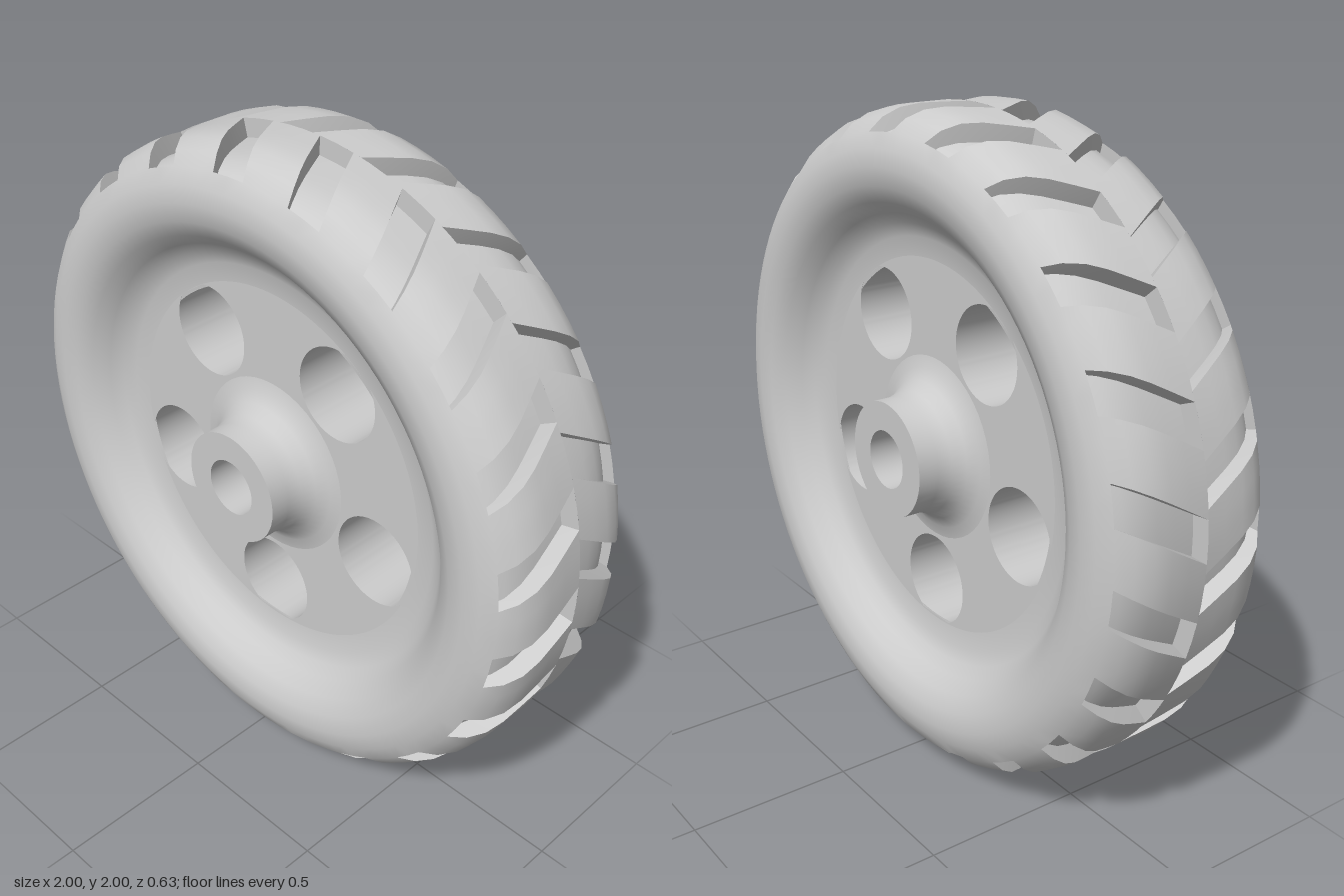
import * as THREE from 'three';
import { toCreasedNormals } from 'three/addons/utils/BufferGeometryUtils.js';

const GROOVES = 21;                       // per side
const PITCH = (Math.PI * 2) / GROOVES;
const GROOVE_HALF = THREE.MathUtils.degToRad(3.5);
const SLANT = 0.59;                       // radians of twist per unit of width
const GROOVE_END = 54.3;                  // shoulder angle where the grooves stop
const DISC_HALF = 0.145;

const material = new THREE.MeshStandardMaterial({ color: 0xcccccc });

function addMesh(parent, geometry, name) {
  const mesh = new THREE.Mesh(toCreasedNormals(geometry, 0.6), material);
  mesh.name = name;
  parent.add(mesh);
  return mesh;
}

// Cross-section of half a tyre: rows of z, radius and groove depth
function tyreRows() {
  const arc = (deg, depth) => {
    const a = THREE.MathUtils.degToRad(deg);
    return { z: 0.12 + 0.16 * Math.sin(a), r: 0.84 + 0.16 * Math.cos(a), depth };
  };
  const rows = [
    { z: 0, r: 1, depth: 0 }, { z: 0, r: 1, depth: 0.055 }, { z: 0.06, r: 1, depth: 0.055 },
    arc(0, 0.055), arc(18, 0.052), arc(36, 0.045), arc(GROOVE_END, 0.035), arc(GROOVE_END, 0),
  ];
  for (const deg of [72, 90, 110, 130, 150]) rows.push(arc(deg, 0));
  // Fillet down to the wheel disc
  for (const [z, r] of [[0.168, 0.67], [0.15, 0.63], [0.144, 0.56]]) rows.push({ z, r, depth: 0 });
  return rows;
}

// Half of the tyre with slanted grooves; side is 1 for front, -1 for back
function halfTyre(side, startAngle) {
  const columns = [];
  for (let i = 0; i < GROOVES; i++) {
    const mid = startAngle + i * PITCH;
    for (const k of [-1, 0, 1]) {
      const angle = mid + k * GROOVE_HALF;
      if (k === -1) columns.push({ angle, cut: 0 });
      columns.push({ angle, cut: 1 });
      if (k === 1) columns.push({ angle, cut: 0 });
    }
    const lug = PITCH - 2 * GROOVE_HALF;
    for (const t of [1 / 3, 2 / 3]) columns.push({ angle: mid + GROOVE_HALF + lug * t, cut: 0 });
  }
  const rows = tyreRows();
  const point = (row, column) => {
    const angle = column.angle - SLANT * Math.min(row.z, 0.25);
    const r = row.r - row.depth * column.cut;
    return new THREE.Vector3(r * Math.cos(angle), r * Math.sin(angle), side * row.z);
  };
  const positions = [];
  const triangle = (a, b, c) => {
    if (new THREE.Triangle(a, b, c).getArea() < 1e-8) return;
    for (const p of side > 0 ? [a, b, c] : [a, c, b]) positions.push(p.x, p.y, p.z);
  };
  for (let j = 0; j < rows.length - 1; j++) {
    columns.forEach((column, i) => {
      const next = columns[(i + 1) % columns.length];
      const a = point(rows[j], column), b = point(rows[j], next);
      const c = point(rows[j + 1], next), d = point(rows[j + 1], column);
      triangle(a, b, c);
      triangle(a, c, d);
    });
  }
  const geometry = new THREE.BufferGeometry();
  geometry.setAttribute('position', new THREE.Float32BufferAttribute(positions, 3));
  return geometry;
}

// Wheel disc with five round holes
function discGeometry() {
  const shape = new THREE.Shape().absarc(0, 0, 0.575, 0, Math.PI * 2);
  shape.holes.push(new THREE.Path().absarc(0, 0, 0.265, 0, Math.PI * 2, true));
  for (let i = 0; i < 5; i++) {
    const a = -Math.PI / 2 + (i * Math.PI * 2) / 5;
    shape.holes.push(new THREE.Path().absarc(0.437 * Math.cos(a), 0.437 * Math.sin(a), 0.143, 0, Math.PI * 2, true));
  }
  const geometry = new THREE.ExtrudeGeometry(shape, {
    depth: DISC_HALF * 2, bevelEnabled: false, curveSegments: 48,
  });
  return geometry.translate(0, 0, -DISC_HALF);
}

// Flared hub with a through bore
function hubGeometry() {
  const half = [[0.285, 0.144], [0.245, 0.153], [0.21, 0.175], [0.186, 0.21], [0.175, 0.25], [0.175, 0.315], [0.088, 0.315]];
  const back = half.map(([r, z]) => [r, -z]).reverse();
  const loop = [...back, ...half, back[0]].map(([r, z]) => new THREE.Vector2(r, z));
  return new THREE.LatheGeometry(loop, 48).rotateX(Math.PI / 2);
}

export function createModel() {
  const wheel = new THREE.Group();
  wheel.name = 'wheel';

  const tyre = new THREE.Group();
  tyre.name = 'tyre';
  const start = THREE.MathUtils.degToRad(101);
  addMesh(tyre, halfTyre(1, start), 'frontTread');
  addMesh(tyre, halfTyre(-1, start - PITCH / 2), 'backTread');
  wheel.add(tyre);

  addMesh(wheel, discGeometry(), 'disc');
  addMesh(wheel, hubGeometry(), 'hub');

  wheel.position.y = 1;
  const model = new THREE.Group();
  model.add(wheel);
  return model;
}
